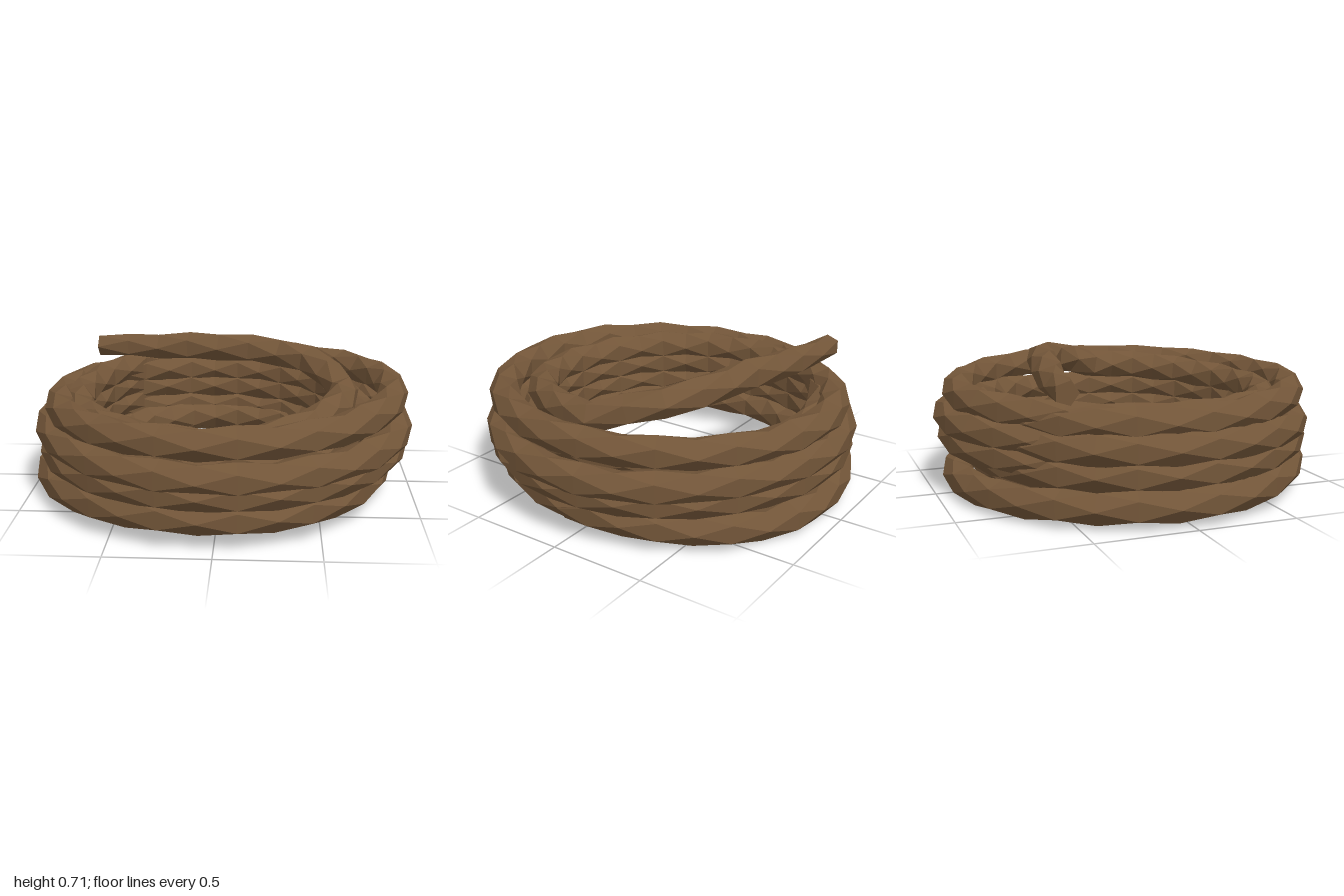
import * as THREE from 'three';

const SIDES = 5;
const STEPS = 8; // rings per quarter turn
const RADIUS = 0.08;
const PHASE = THREE.MathUtils.degToRad(4.6);

// Centre line at each quarter turn, [radius, height], one loop per row
// (right, back, left, front): outer and inner loops alternate going up
const LOOPS = [
  [0.82, 0.14], [0.87, 0.077], [0.92, 0.10], [0.89, 0.15],
  [0.82, 0.145], [0.73, 0.14], [0.73, 0.15], [0.745, 0.17],
  [0.74, 0.19], [0.77, 0.21], [0.89, 0.24], [0.90, 0.265],
  [0.90, 0.275], [0.89, 0.28], [0.78, 0.26], [0.745, 0.265],
  [0.73, 0.29], [0.75, 0.33], [0.91, 0.36], [0.91, 0.345],
  [0.92, 0.35], [0.91, 0.38], [0.76, 0.37], [0.745, 0.365],
  [0.73, 0.39], [0.75, 0.43], [0.85, 0.47], [0.89, 0.505],
  [0.89, 0.525], [0.86, 0.50], [0.76, 0.47], [0.745, 0.46], [0.64, 0.525],
];

// Loose end lying across the top of the coil
const TAIL = [
  [0.635, 0.525, 0.05], [0.51, 0.6, -0.19], [0.34, 0.625, -0.33],
  [0.14, 0.637, -0.39], [-0.1, 0.635, -0.44], [-0.4, 0.62, -0.5], [-0.745, 0.615, -0.535],
];

function ropePath() {
  const points = [];
  const last = (LOOPS.length - 1) * STEPS;
  for (let i = 0; i < last; i++) {
    const q = Math.floor(i / STEPS);
    const f = THREE.MathUtils.smoothstep(i / STEPS - q, 0, 1);
    const [r, y] = LOOPS[q].map((v, k) => THREE.MathUtils.lerp(v, LOOPS[q + 1][k], f));
    const a = PHASE - (Math.PI / 2) * (i / STEPS);
    points.push(new THREE.Vector3(Math.cos(a) * r, y, Math.sin(a) * r));
  }
  const tail = new THREE.CatmullRomCurve3(TAIL.map((p) => new THREE.Vector3(...p)));
  return points.concat(tail.getSpacedPoints(9));
}

// Five-sided tube whose rings each turn half a side, giving a diamond weave
function ropeGeometry(path) {
  const up = new THREE.Vector3(0, 1, 0);
  const n = path.length;
  const rings = path.map((c, i) => {
    const t = path[Math.min(i + 1, n - 1)].clone().sub(path[Math.max(i - 1, 0)]).normalize();
    const side = t.clone().cross(up).normalize(); // away from the coil's centre
    const top = side.clone().cross(t);
    const radius = Math.min(RADIUS, 0.06 + 0.007 * (n - 1 - i)); // slimmer towards the loose end
    return Array.from({ length: SIDES }, (_, j) => {
      const a = ((j + i * 0.5) / SIDES) * Math.PI * 2;
      return c.clone()
        .addScaledVector(side, Math.cos(a) * radius)
        .addScaledVector(top, -Math.sin(a) * radius);
    });
  });

  const pos = [];
  const tri = (...corners) => corners.forEach((p) => pos.push(p.x, p.y, p.z));
  for (let j = 0; j < SIDES; j++) {
    const k = (j + 1) % SIDES;
    for (let i = 0; i < n - 1; i++) {
      tri(rings[i][j], rings[i][k], rings[i + 1][j]);
      tri(rings[i][k], rings[i + 1][k], rings[i + 1][j]);
    }
    // End caps
    tri(path[0], rings[0][k], rings[0][j]);
    tri(path[n - 1], rings[n - 1][j], rings[n - 1][k]);
  }
  const geometry = new THREE.BufferGeometry();
  geometry.setAttribute('position', new THREE.Float32BufferAttribute(pos, 3));
  geometry.computeVertexNormals(); // unshared corners keep every facet flat
  return geometry;
}

export function createModel() {
  const group = new THREE.Group();
  group.name = 'ropeCoil';
  const ropeBrown = new THREE.MeshStandardMaterial({ color: 0x735639 });
  ropeBrown.name = 'ropeBrown';
  const rope = new THREE.Mesh(ropeGeometry(ropePath()), ropeBrown);
  rope.name = 'rope';
  group.add(rope);
  return group;
}
